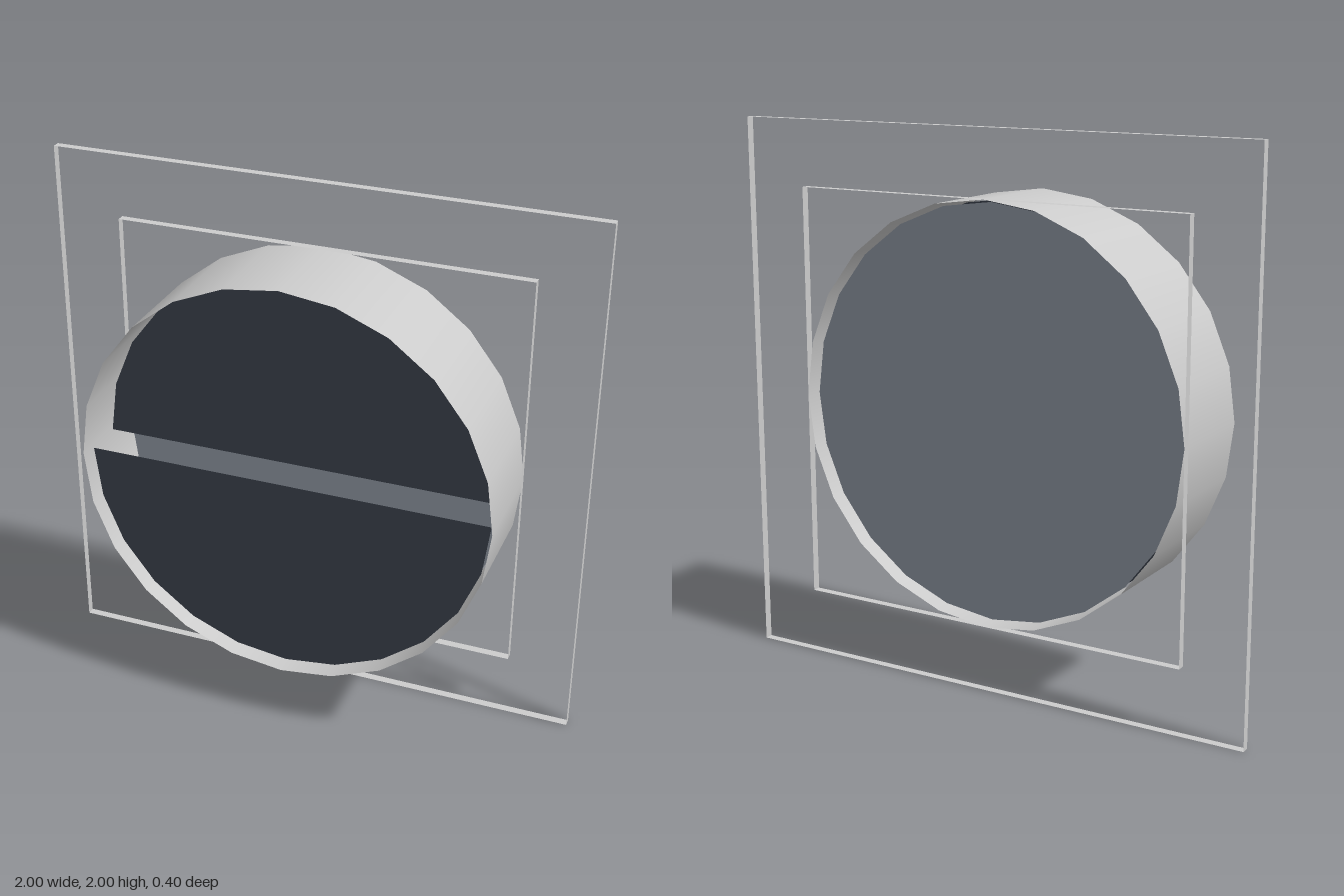
import * as THREE from 'three';

const CENTRE_Y = 1;
const SIDES = 24;

const material = (color, flatShading = false) =>
  new THREE.MeshStandardMaterial({ color, flatShading, side: THREE.DoubleSide });

export function createModel() {
  const model = new THREE.Group();
  model.name = 'roundVent';

  const grey = material(0xcccccc);
  const flatGrey = material(0xcccccc, true);
  const dark = material(0x363c46);
  const slate = material(0x848b96);

  const add = (name, geometry, mat, z) => {
    const mesh = new THREE.Mesh(geometry, mat);
    mesh.name = name;
    mesh.position.set(0, CENTRE_Y, z);
    model.add(mesh);
  };

  // Open tube lying along z
  const sleeve = new THREE.CylinderGeometry(0.76, 0.76, 0.4, SIDES, 1, true);
  add('sleeve', sleeve.rotateX(Math.PI / 2), grey, 0);

  // Thin square bands: outer border and inner border of the mounting frame
  const squareBand = (half) =>
    new THREE.CylinderGeometry(half * Math.SQRT2, half * Math.SQRT2, 0.03, 4, 1, true)
      .rotateY(Math.PI / 4)
      .rotateX(Math.PI / 2);
  add('frameOuterBand', squareBand(1), flatGrey, -0.185);
  add('frameInnerBand', squareBand(0.76), flatGrey, -0.185);

  // Full disc closing the rear of the sleeve
  add('backDisc', new THREE.CircleGeometry(0.747, SIDES), slate, -0.15);

  // Two half-disc flaps, the lower one further forward
  const flap = (start) => new THREE.CircleGeometry(0.744, SIDES / 2, start, Math.PI);
  add('upperFlap', flap(0), dark, 0);
  add('lowerFlap', flap(Math.PI), dark, 0.15);

  return model;
}
